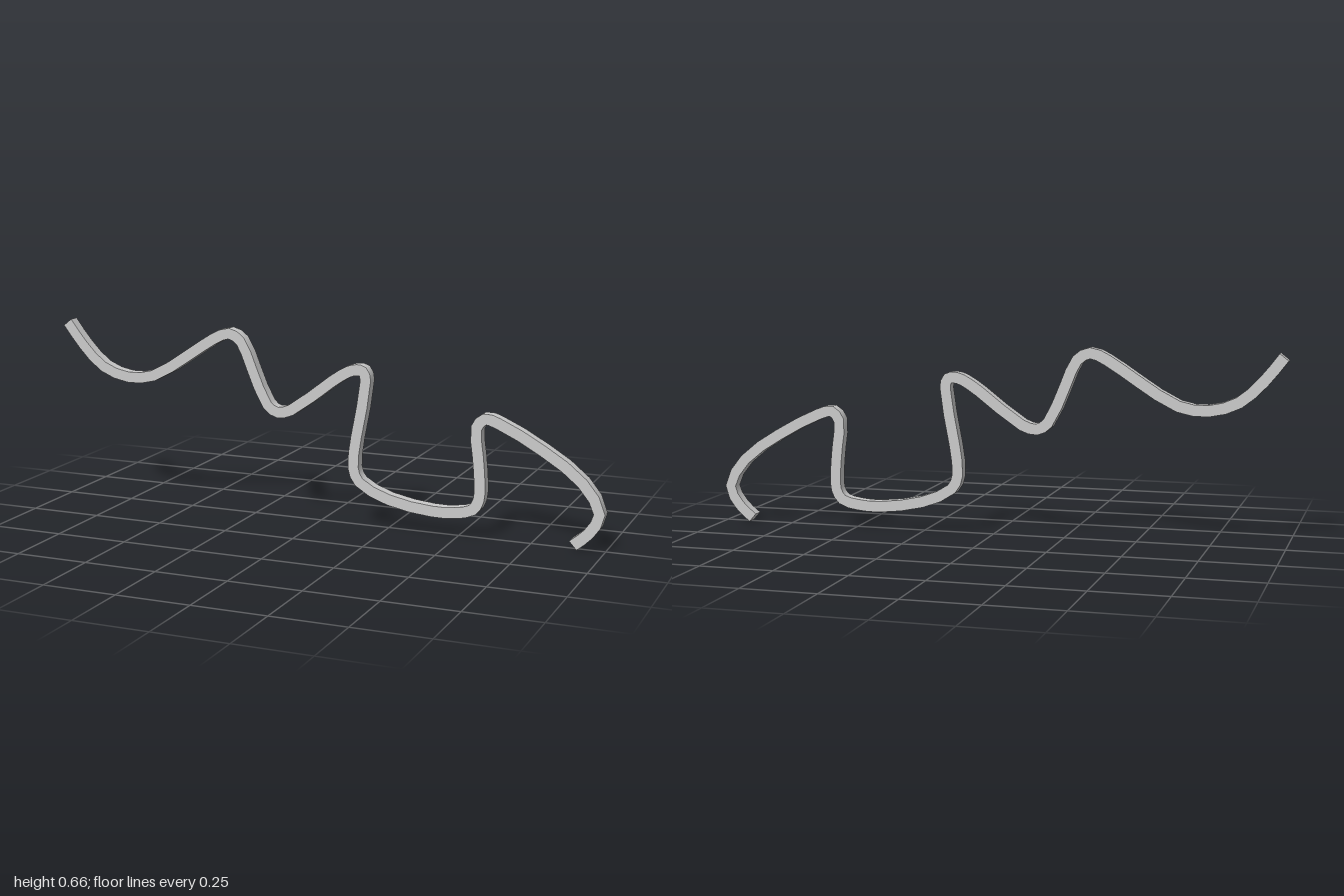
import * as THREE from 'three';
import { toCreasedNormals } from 'three/addons/utils/BufferGeometryUtils.js';

const THICKNESS = 0.038;

// Key points of the bar's centre line, from the raised right end to the low left end
const PATH = [
  [-0.983, 0.64], [-0.92, 0.56], [-0.84, 0.487], [-0.74, 0.456], [-0.64, 0.468],
  [-0.5, 0.55], [-0.4, 0.615], [-0.34, 0.638], [-0.295, 0.613], [-0.255, 0.525],
  [-0.195, 0.397], [-0.157, 0.374], [-0.105, 0.387], [0.045, 0.497], [0.105, 0.535],
  [0.135, 0.543], [0.158, 0.54], [0.168, 0.508], [0.135, 0.31], [0.125, 0.203],
  [0.147, 0.155], [0.255, 0.104], [0.41, 0.08], [0.49, 0.083], [0.55, 0.099],
  [0.572, 0.134], [0.575, 0.19], [0.567, 0.283], [0.56, 0.38], [0.587, 0.411],
  [0.635, 0.4], [0.79, 0.32], [0.92, 0.227], [0.979, 0.128], [0.945, 0.06], [0.895, 0.016],
];

export function createModel() {
  const group = new THREE.Group();
  const curve = new THREE.CatmullRomCurve3(
    PATH.map(([x, y]) => new THREE.Vector3(x, y, 0)), false, 'centripetal');

  // Offset the centre line to both sides to get the outline of the bent bar
  const upper = [], lower = [];
  const steps = (PATH.length - 1) * 2;
  for (let i = 0; i <= steps; i++) {
    const p = curve.getPoint(i / steps);
    const t = curve.getTangent(i / steps);
    const dx = -t.y * THICKNESS / 2, dy = t.x * THICKNESS / 2;
    upper.push(new THREE.Vector2(p.x + dx, p.y + dy));
    lower.push(new THREE.Vector2(p.x - dx, p.y - dy));
  }
  const outline = new THREE.Shape([...lower, ...upper.reverse()]);

  // Square section: depth equals thickness, smooth along the bends, sharp on the edges
  const geometry = new THREE.ExtrudeGeometry(outline, { depth: THICKNESS, bevelEnabled: false });
  geometry.translate(0, 0, -THICKNESS / 2);

  const bar = new THREE.Mesh(
    toCreasedNormals(geometry, 1),
    new THREE.MeshStandardMaterial({ color: 0xcccccc }));
  bar.name = 'wavyBar';
  group.add(bar);
  return group;
}
